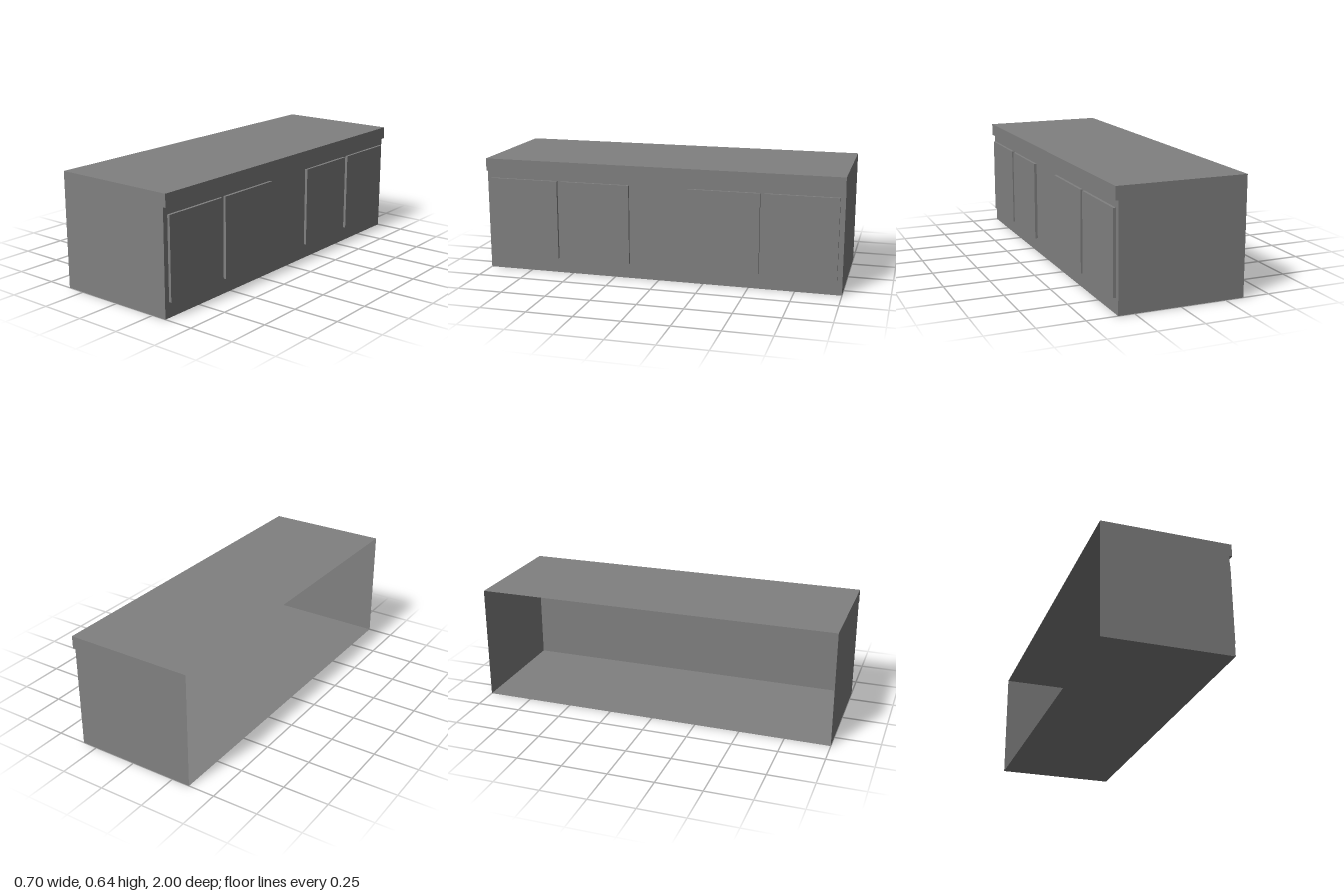
import * as THREE from 'three';

export function createModel() {
  const model = new THREE.Group();
  model.name = 'counter';
  const grey = new THREE.MeshStandardMaterial({ color: 0x808080, side: THREE.DoubleSide });
  grey.name = 'grey laminate';

  const add = (name, geometry) => {
    const mesh = new THREE.Mesh(geometry, grey);
    mesh.name = name;
    model.add(mesh);
    return mesh;
  };

  // Cross-section, counterclockwise; the side at -x stays open
  const section = [
    [-0.352, 0], [0.336, 0], [0.336, 0.567],
    [0.352, 0.567], [0.352, 0.636], [-0.352, 0.636],
  ];

  // Thin sheets running the full length, one per side of the section
  ['floor', 'doorWall', 'worktopUnderside', 'worktopEdge', 'worktop'].forEach((name, i) => {
    const [ax, ay] = section[i], [bx, by] = section[i + 1];
    const sheet = new THREE.BufferGeometry();
    sheet.setAttribute('position', new THREE.Float32BufferAttribute([
      ax, ay, 1, ax, ay, -1, bx, by, -1, bx, by, 1,
    ], 3));
    sheet.setIndex([0, 1, 2, 0, 2, 3]);
    sheet.computeVertexNormals();
    add(name, sheet);
  });

  // End walls
  const outline = new THREE.Shape(section.map(([x, y]) => new THREE.Vector2(x, y)));
  add('frontEndWall', new THREE.ShapeGeometry(outline)).position.z = 1;
  const backEnd = new THREE.ShapeGeometry(outline);
  backEnd.index.array.reverse();
  backEnd.computeVertexNormals();
  add('backEndWall', backEnd).position.z = -1;

  // Two pairs of raised doors
  for (const side of [1, -1]) {
    for (const z of [0.361, 0.777]) {
      add('door', new THREE.BoxGeometry(0.015, 0.443, 0.392))
        .position.set(0.3445, 0.3045, side * z);
    }
  }
  return model;
}
